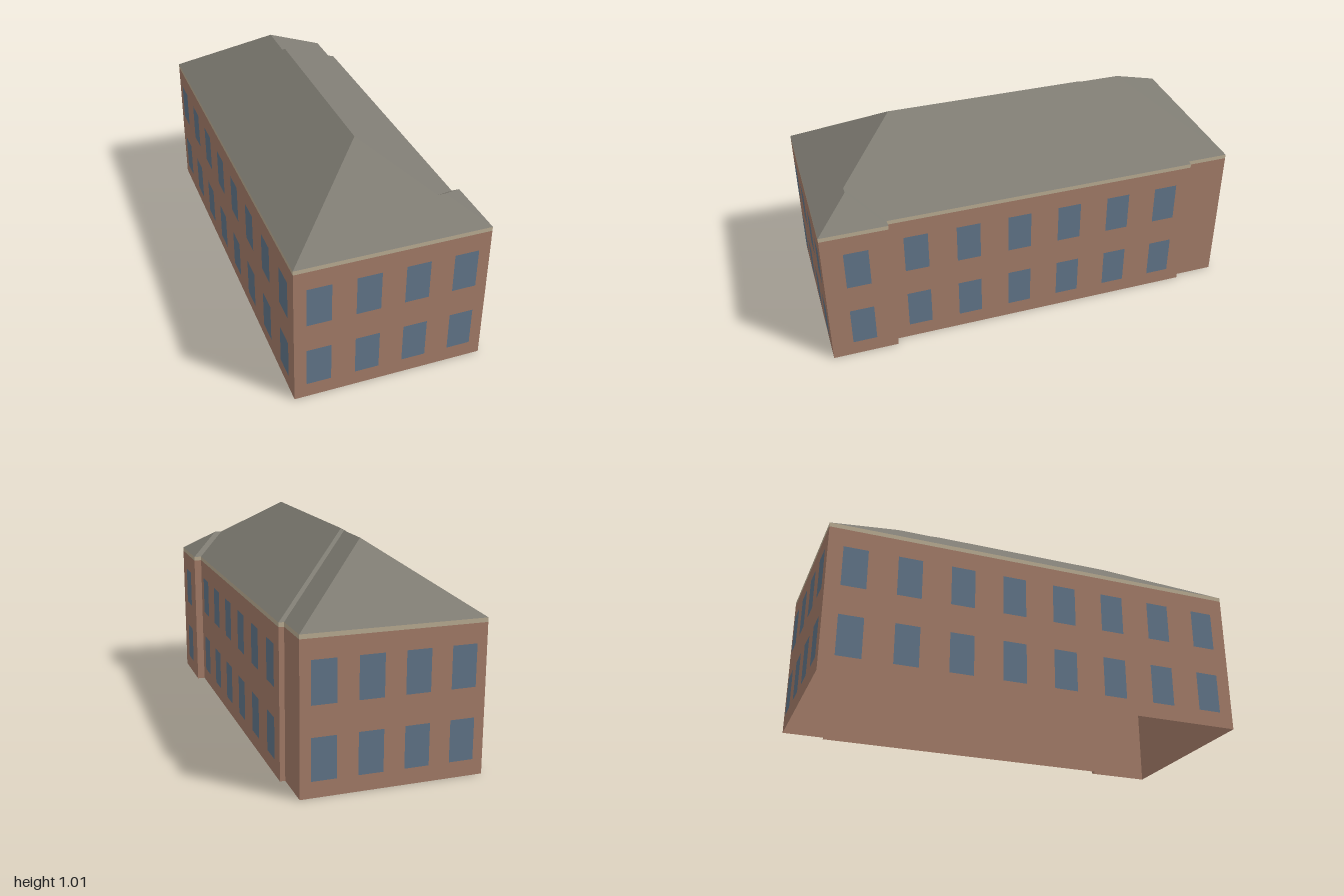
import * as THREE from 'three';

const WALL_TOP = 0.685, EAVES = 0.705, PITCH = 0.7;

const mat = (name, color, side = THREE.FrontSide) => {
  const m = new THREE.MeshStandardMaterial({ color, side });
  m.name = name;
  return m;
};

// Flat-shaded mesh from convex-ish polygons, each fanned from its first corner
function polygonMesh(name, polygons, material) {
  const pos = [];
  for (const p of polygons)
    for (let i = 1; i < p.length - 1; i++) pos.push(...p[0], ...p[i], ...p[i + 1]);
  const geo = new THREE.BufferGeometry();
  geo.setAttribute('position', new THREE.Float32BufferAttribute(pos, 3));
  geo.computeVertexNormals();
  const mesh = new THREE.Mesh(geo, material);
  mesh.name = name;
  return mesh;
}

export function createModel() {
  const brick = mat('brick', 0xa57d69, THREE.DoubleSide);
  const stone = mat('cornice stone', 0xbcae94, THREE.DoubleSide);
  const slate = mat('roof slate', 0x807d74, THREE.DoubleSide);
  const glass = mat('window glass', 0x62768a);
  const group = new THREE.Group();
  group.name = 'building';

  // Footprint corners [x, z], counter-clockwise from the front, and windows per wall
  const plan = [
    [-0.45, 1], [0.447, 1], [0.447, 0.69], [0.41, 0.69],
    [0.41, -0.8], [0.386, -0.8], [0.386, -1], [-0.447, -1],
  ];
  const bays = [4, 1, 0, 6, 0, 0, 4, 8];

  // Walls and the flush cornice band above them
  const band = (y0, y1) => plan.map(([x, z], i) => {
    const [u, w] = plan[(i + 1) % plan.length];
    return [[x, y0, z], [u, y0, w], [u, y1, w], [x, y1, z]];
  });
  group.add(polygonMesh('walls', band(0, WALL_TOP), brick));
  group.add(polygonMesh('cornice', band(WALL_TOP, EAVES), stone));

  // Two rows of windows, evenly spaced along each wall
  const windows = new THREE.Group();
  windows.name = 'windows';
  const pane = new THREE.PlaneGeometry(0.113, 0.192);
  plan.forEach(([x, z], i) => {
    const [u, w] = plan[(i + 1) % plan.length];
    const len = Math.hypot(u - x, w - z);
    const nx = -(w - z) / len, nz = (u - x) / len;
    for (let b = 0; b < bays[i]; b++) {
      const t = (b + 0.5) / bays[i];
      for (const y of [0.171, 0.501]) {
        const win = new THREE.Mesh(pane, glass);
        win.name = 'window';
        win.position.set(x + (u - x) * t + nx * 0.003, y, z + (w - z) * t + nz * 0.003);
        win.rotation.y = Math.atan2(nx, nz);
        windows.add(win);
      }
    }
  });
  group.add(windows);

  // Hipped roof: every slope rises equally with its distance d from the eaves
  const at = (x, z, d) => [x, EAVES + PITCH * d, z];
  const [fl, fr, a, b, c, d, e, bl] = plan.map(([x, z]) => at(x, z, 0));
  const p1 = at(0.292, 0.845, 0.155), p2 = at(0.255, 0.845, 0.155); // small front spur
  const r1 = at(-0.02, 0.57, 0.43), r2 = at(-0.02, -0.37, 0.43);    // main ridge
  const r3 = at(-0.03, -0.384, 0.417), r4 = at(-0.03, -0.583, 0.417); // rear ridge
  group.add(polygonMesh('roof', [
    [fl, fr, p1, p2, r1],     // front hip
    [fr, a, p1],              // spur side
    [a, b, p2, p1],           // spur back
    [b, c, r2, r1, p2],       // main side slope
    [c, d, r3, r2],           // step between main and rear
    [d, e, r4, r3],           // rear side slope
    [e, bl, r4],              // back hip
    [bl, fl, r1, r2, r3, r4], // long plain slope
  ], slate));

  return group;
}
